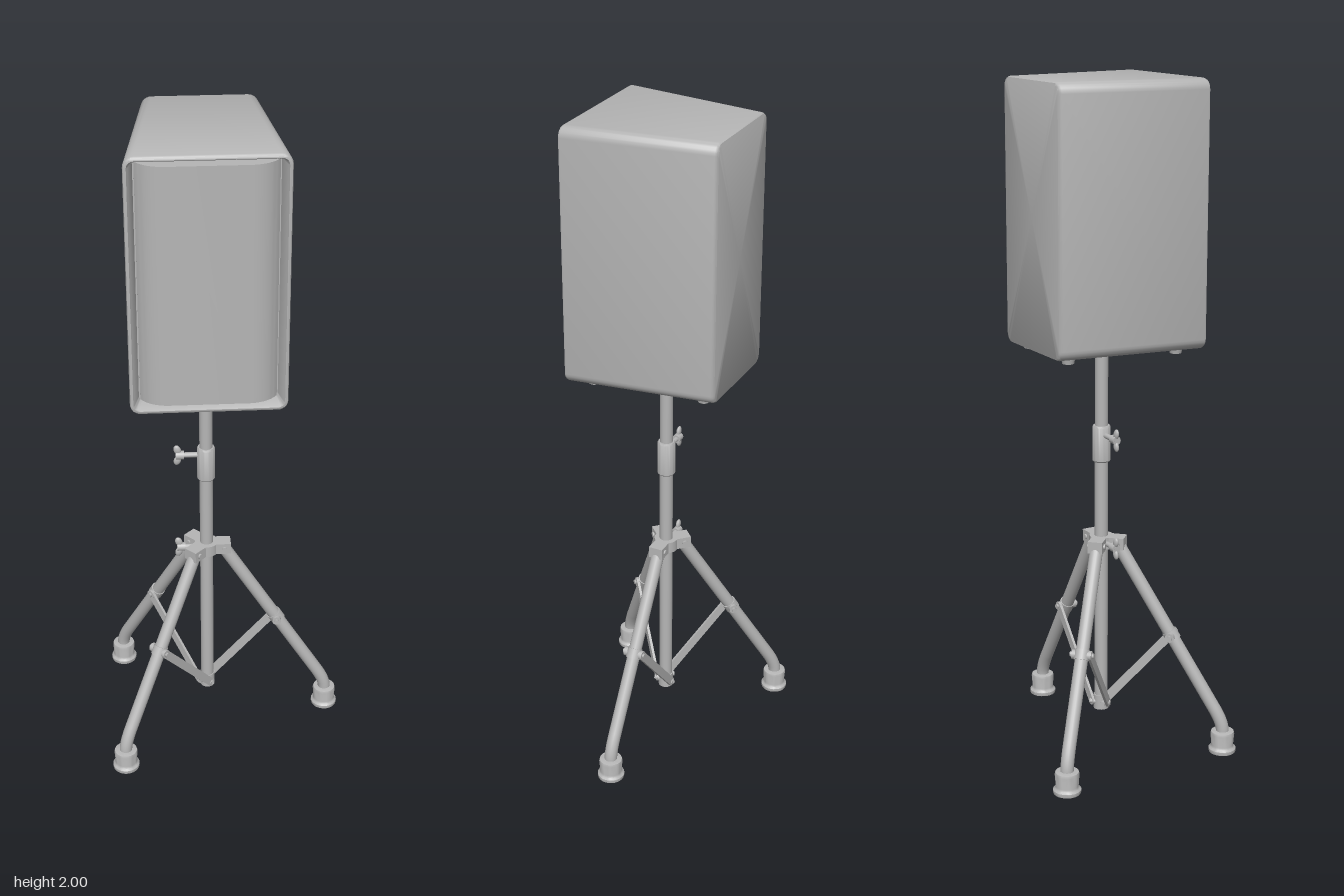
import * as THREE from 'three';
import { toCreasedNormals } from 'three/addons/utils/BufferGeometryUtils.js';

const POLE_X = -0.057;
const grey = new THREE.MeshStandardMaterial({ color: 0xb6b6b6 });
grey.name = 'grey';

function add(parent, name, geometry, x = 0, y = 0, z = 0) {
  const mesh = new THREE.Mesh(geometry, grey);
  mesh.name = name;
  mesh.position.set(x, y, z);
  parent.add(mesh);
  return mesh;
}
const cyl = (r, h, n = 24, rTop = r) => new THREE.CylinderGeometry(rTop, r, h, n);
const lathe = (pts) =>
  toCreasedNormals(new THREE.LatheGeometry(pts.map(([r, y]) => new THREE.Vector2(r, y)), 32), 0.6);

// Rounded rectangle outline, anticlockwise seen from the front
function roundedLoop(hw, hh, r, steps = 6) {
  const out = [];
  [[1, 1], [-1, 1], [-1, -1], [1, -1]].forEach(([sx, sy], q) => {
    for (let i = 0; i <= steps; i++) {
      const a = (q + i / steps) * Math.PI / 2;
      out.push([sx * (hw - r) + r * Math.cos(a), sy * (hh - r) + r * Math.sin(a)]);
    }
  });
  return out;
}

// Tapered cabinet shell: sections from the back, over the front rim, into the recess
function cabinetGeometry() {
  const sections = [
    [-0.225, 0.008], [-0.223, 0.003], [-0.217, 0], [0.21, 0], [0.216, 0.003],
    [0.218, 0.007], [0.218, 0.011], [0.214, 0.014], [0.165, 0.02],
  ];
  const pos = [], idx = [];
  let n = 0;
  for (const [z, inset] of sections) {
    const hw = THREE.MathUtils.mapLinear(z, -0.225, 0.218, 0.162, 0.221) - inset;
    const loop = roundedLoop(hw, 0.38 - inset, 0.03 - inset);
    n = loop.length;
    for (const [x, y] of loop) pos.push(x, y, z);
  }
  const last = (sections.length - 1) * n;
  const back = pos.length / 3, front = back + 1;
  pos.push(0, 0, sections[0][0], 0, 0, sections[sections.length - 1][0]);
  for (let i = 0; i < n; i++) {
    const j = (i + 1) % n;
    for (let a = 0; a < last; a += n) {
      idx.push(a + i, a + j, a + n + j, a + i, a + n + j, a + n + i);
    }
    idx.push(back, j, i, front, last + i, last + j);
  }
  const g = new THREE.BufferGeometry();
  g.setAttribute('position', new THREE.Float32BufferAttribute(pos, 3));
  g.setIndex(idx);
  return toCreasedNormals(g, 0.7);
}

// Grille panel: flat in the middle, curving back at both sides, extruded upward
function grilleGeometry() {
  const s = new THREE.Shape();
  s.moveTo(-0.19, -0.16);
  s.lineTo(0.19, -0.16);
  s.lineTo(0.19, -0.178);
  s.quadraticCurveTo(0.165, -0.215, 0.115, -0.219);
  s.lineTo(-0.115, -0.219);
  s.quadraticCurveTo(-0.165, -0.215, -0.19, -0.178);
  const g = new THREE.ExtrudeGeometry(s, { depth: 0.705, bevelEnabled: false, curveSegments: 10 });
  g.rotateX(-Math.PI / 2);
  return toCreasedNormals(g, 0.6);
}

function cabinet() {
  const g = new THREE.Group();
  g.name = 'speakerCabinet';
  add(g, 'cabinetShell', cabinetGeometry(), 0, 1.62, 0);
  add(g, 'frontGrille', grilleGeometry(), 0, 1.268, 0);
  for (const s of [-1, 1]) {
    add(g, 'cabinetFoot', cyl(0.017, 0.02, 20, 0.021), s * 0.15, 1.234, 0.158);
    add(g, 'cabinetFoot', cyl(0.017, 0.02, 20, 0.021), s * 0.114, 1.234, -0.174);
  }
  return g;
}

// Wing screw pointing towards -x
function wingScrew(y) {
  const g = new THREE.Group();
  g.name = 'wingScrew';
  add(g, 'screwShaft', cyl(0.008, 0.08, 12), -0.05).rotation.z = Math.PI / 2;
  add(g, 'screwBoss', cyl(0.013, 0.024, 16), -0.077).rotation.z = Math.PI / 2;
  for (const s of [-1, 1]) {
    const wing = add(g, 'screwWing', new THREE.SphereGeometry(1, 14, 10), -0.085, s * 0.018, 0);
    wing.scale.set(0.011, 0.016, 0.007);
    wing.rotation.z = s * 0.3;
  }
  g.position.y = y;
  return g;
}

function pole() {
  const g = new THREE.Group();
  g.name = 'pole';
  add(g, 'upperPole', cyl(0.0195, 0.35), 0, 1.075, 0);
  add(g, 'lowerPole', cyl(0.02, 0.81), 0, 0.505, 0);
  add(g, 'heightCollar', lathe([
    [0, 0.885], [0.024, 0.885], [0.027, 0.889], [0.027, 0.99], [0.024, 0.995], [0, 0.995],
  ]));
  add(g, 'legHub', cyl(0.036, 0.036), 0, 0.637, 0);
  add(g, 'braceHub', cyl(0.023, 0.045), 0, 0.12, 0);
  g.add(wingScrew(0.968), wingScrew(0.637));
  return g;
}

// One leg lying along +x, with its bracket, brace and rubber foot
function leg(angle) {
  const g = new THREE.Group();
  g.name = 'leg';
  const v = (x, y) => new THREE.Vector3(x, y, 0);
  const path = new THREE.CurvePath();
  path.add(new THREE.LineCurve3(v(0.048, 0.637), v(0.348, 0.142)));
  path.add(new THREE.QuadraticBezierCurve3(v(0.348, 0.142), v(0.379, 0.093), v(0.379, 0.065)));
  path.add(new THREE.LineCurve3(v(0.379, 0.065), v(0.379, 0.03)));
  add(g, 'legTube', new THREE.TubeGeometry(path, 48, 0.0195, 20));

  // Hub bracket with its pivot bolt
  add(g, 'hubBracket', new THREE.BoxGeometry(0.055, 0.036, 0.044), 0.046, 0.637, 0);
  add(g, 'pivotBolt', cyl(0.008, 0.054, 14), 0.054, 0.637, 0).rotation.x = Math.PI / 2;

  // Brace joint on the leg
  const joint = [0.218, 0.358], foot = [0.012, 0.12];
  add(g, 'jointBolt', cyl(0.014, 0.06, 18), joint[0], joint[1], 0).rotation.x = Math.PI / 2;
  add(g, 'jointNut', cyl(0.008, 0.072, 6), joint[0], joint[1], 0).rotation.x = Math.PI / 2;
  const clamp = add(g, 'jointClamp', cyl(0.0225, 0.03), joint[0], joint[1], 0);
  clamp.rotation.z = Math.atan2(0.3, 0.495);

  // Flat brace with rounded ends running down to the pole
  const dx = joint[0] - foot[0], dy = joint[1] - foot[1], len = Math.hypot(dx, dy);
  const s = new THREE.Shape();
  s.absarc(len, 0, 0.013, -Math.PI / 2, Math.PI / 2);
  s.absarc(0, 0, 0.013, Math.PI / 2, Math.PI * 1.5);
  const bar = new THREE.ExtrudeGeometry(s, { depth: 0.008, bevelEnabled: false, curveSegments: 10 });
  add(g, 'brace', bar, foot[0], foot[1], -0.029).rotation.z = Math.atan2(dy, dx);
  add(g, 'braceBolt', cyl(0.008, 0.064, 12), foot[0], foot[1], 0).rotation.x = Math.PI / 2;

  add(g, 'rubberFoot', lathe([
    [0, 0], [0.04, 0], [0.041, 0.004], [0.041, 0.011], [0.035, 0.016], [0.033, 0.022],
    [0.036, 0.058], [0.034, 0.065], [0.026, 0.067], [0, 0.067],
  ]), 0.379, 0, 0);
  g.rotation.y = angle;
  return g;
}

export function createModel() {
  const model = new THREE.Group();
  model.name = 'speakerOnTripod';
  const body = new THREE.Group();
  body.name = 'standAndSpeaker';
  body.position.x = POLE_X;
  body.add(cabinet(), pole());
  for (const a of [0, 0.75, -0.75]) body.add(leg(a * Math.PI));
  model.add(body);
  return model;
}
